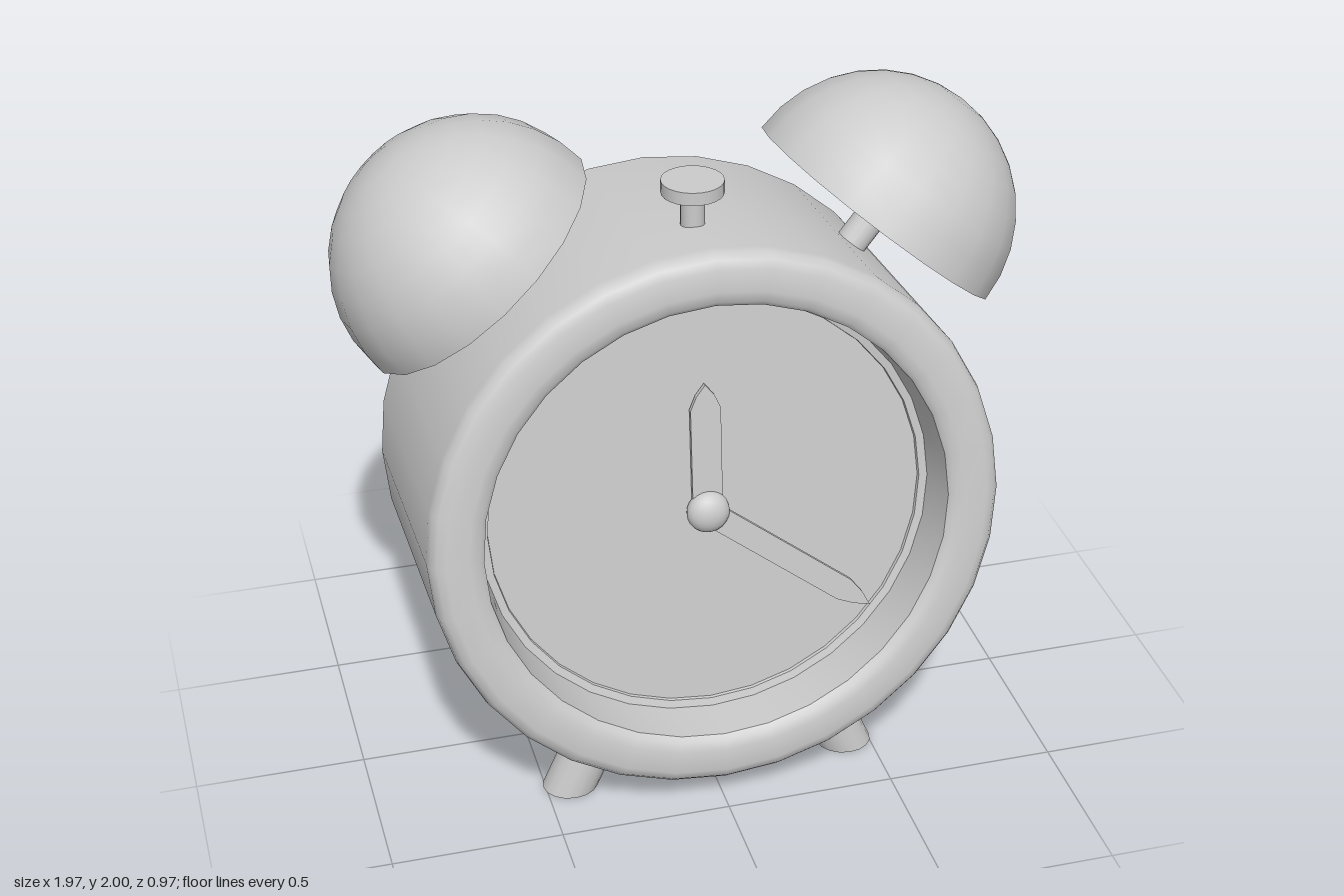
import * as THREE from 'three';
import { toCreasedNormals } from 'three/addons/utils/BufferGeometryUtils.js';

const grey = new THREE.MeshStandardMaterial({ color: 0xcccccc });
const greyDouble = new THREE.MeshStandardMaterial({ color: 0xcccccc, side: THREE.DoubleSide });

function add(parent, name, geometry, x = 0, y = 0, z = 0, material = grey) {
  const mesh = new THREE.Mesh(geometry, material);
  mesh.name = name;
  mesh.position.set(x, y, z);
  parent.add(mesh);
  return mesh;
}

// Turned part with sharp corners kept
function lathe(points, segments) {
  const profile = points.map(([r, h]) => new THREE.Vector2(r, h));
  return toCreasedNormals(new THREE.LatheGeometry(profile, segments), 0.65);
}

// Flat pointed hand, pivoting at its origin and pointing up
function handGeometry(length, halfWidth, tip, depth) {
  const shape = new THREE.Shape();
  shape.moveTo(-halfWidth, 0);
  shape.lineTo(halfWidth, 0);
  shape.lineTo(halfWidth, length - tip);
  shape.lineTo(halfWidth * 0.6, length - tip * 0.45);
  shape.lineTo(0, length);
  shape.lineTo(-halfWidth * 0.6, length - tip * 0.45);
  shape.lineTo(-halfWidth, length - tip);
  shape.closePath();
  return new THREE.ExtrudeGeometry(shape, { depth, bevelEnabled: false });
}

export function createModel() {
  const model = new THREE.Group();
  model.name = 'alarmClock';

  // Everything but the feet and button leans back
  const clock = new THREE.Group();
  clock.name = 'tiltedClock';
  clock.position.y = 0.872;
  clock.rotation.x = -0.096;
  model.add(clock);

  // Case: closed back, drum, rounded front rim, recess and dial
  const caseProfile = [
    [0, -0.41], [0.815, -0.41], [0.83, -0.395], [0.83, 0.355], [0.825, 0.38],
    [0.81, 0.4], [0.785, 0.41], [0.72, 0.41], [0.69, 0.405], [0.675, 0.39],
    [0.66, 0.25], [0.637, 0.245], [0.635, 0.235], [0, 0.235],
  ];
  add(clock, 'case', lathe(caseProfile, 32).rotateX(Math.PI / 2));

  // Hands and hub
  const hands = new THREE.Group();
  hands.name = 'hands';
  hands.position.set(0, -0.014, 0.235);
  clock.add(hands);
  add(hands, 'hourHand', handGeometry(0.395, 0.044, 0.075, 0.015), 0, 0, 0.005);
  const minute = add(hands, 'minuteHand', handGeometry(0.61, 0.036, 0.1, 0.015), 0, 0, 0.018);
  minute.rotation.z = -Math.PI / 2 - Math.atan2(0.375, 0.48);
  const hub = add(hands, 'handHub', new THREE.SphereGeometry(0.063, 20, 12), 0, 0, 0.02);
  hub.scale.z = 0.7;

  // Bell shell: outer dome, then inner dome back to the axis
  const bellProfile = [];
  for (let i = 0; i <= 8; i++) {
    const a = (i / 8) * Math.PI / 2;
    bellProfile.push([0.38 * Math.sin(a), 0.38 * Math.cos(a)]);
  }
  for (let i = 8; i >= 0; i--) {
    const a = (i / 8) * Math.PI / 2;
    bellProfile.push([0.405 * Math.sin(a), 0.405 * Math.cos(a)]);
  }
  const bellGeometry = lathe(bellProfile, 20);

  for (const [side, s] of [['left', 1], ['right', -1]]) {
    const bell = new THREE.Group();
    bell.name = side + 'BellAssembly';
    bell.position.set(s * 0.58, 0.732, 0);
    bell.rotation.z = -s * 0.695;
    clock.add(bell);
    add(bell, side + 'Bell', bellGeometry, 0, 0, 0, greyDouble);
    add(bell, side + 'BellPost', new THREE.CylinderGeometry(0.046, 0.046, 0.6, 16), 0, 0.09, 0);

    // Splayed foot, sheared so its sole stays level
    const foot = new THREE.CylinderGeometry(0.075, 0.075, 0.24, 16);
    foot.scale(1.1, 1, 1);
    foot.applyMatrix4(new THREE.Matrix4().makeShear(0, 0, -s * 0.44, 0, 0, 0));
    add(model, side + 'Foot', foot, s * 0.372, 0.125, 0.27);
  }

  // Top button
  add(model, 'buttonStem', new THREE.CylinderGeometry(0.034, 0.034, 0.15, 16), 0, 1.74, 0.08);
  add(model, 'buttonCap', new THREE.CylinderGeometry(0.088, 0.088, 0.038, 24), 0, 1.826, 0.08);

  return model;
}
